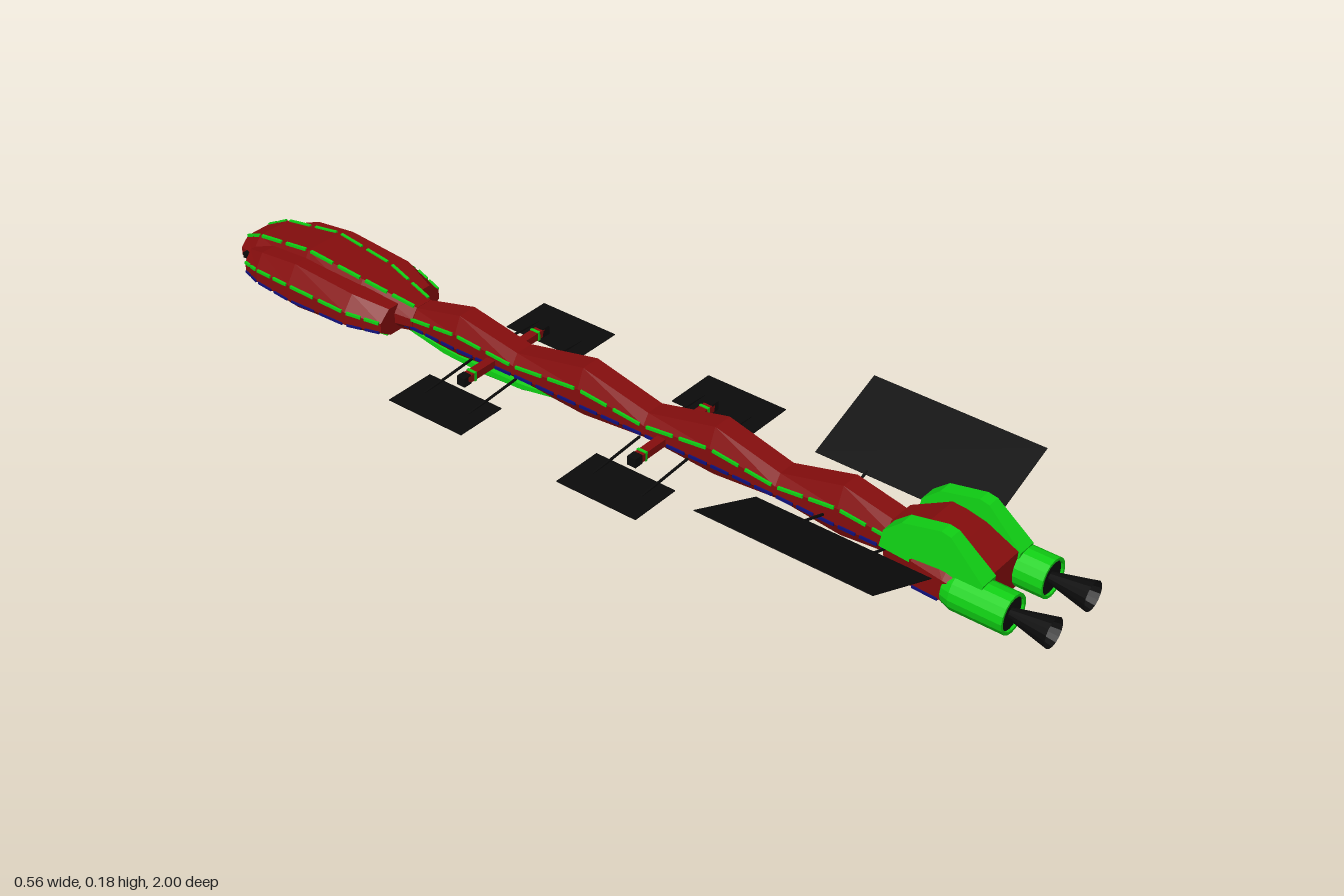
import * as THREE from 'three';

const paint = (color) => new THREE.MeshStandardMaterial({ color, flatShading: true, side: THREE.DoubleSide });
const red = paint(0x850d0d), green = paint(0x10d014), black = paint(0x0b0b0b), blue = paint(0x10107a);

function add(parent, name, geometry, material, x = 0, y = 0, z = 0) {
  const mesh = new THREE.Mesh(geometry, material);
  mesh.name = name;
  mesh.position.set(x, y, z);
  parent.add(mesh);
  return mesh;
}

const box = (w, h, d) => new THREE.BoxGeometry(w, h, d);

// Eight-sided ring from [z, bottom, top, top half-width, side half-width, bottom half-width]
function ring([z, bottom, top, wTop, wMid, wBot]) {
  const h = top - bottom;
  const half = [[wBot, bottom], [wMid, bottom + h * 0.28], [wMid, bottom + h * 0.62], [wTop, top]];
  const other = half.map(([x, y]) => [-x, y]).reverse();
  return [...half, ...other].map(([x, y]) => new THREE.Vector3(x, y, z));
}

// Closed hull through rings ordered by rising z
function loft(sections) {
  const rings = sections.map(ring), n = 8, last = (rings.length - 1) * n, index = [];
  for (let i = 0; i < rings.length - 1; i++) {
    for (let j = 0; j < n; j++) {
      const a = i * n + j, b = i * n + (j + 1) % n;
      index.push(a, b, b + n, a, b + n, a + n);
    }
  }
  for (let j = 1; j < n - 1; j++) index.push(0, j + 1, j, last, last + j, last + j + 1);
  const geometry = new THREE.BufferGeometry().setFromPoints(rings.flat());
  geometry.setIndex(index);
  const flat = geometry.toNonIndexed();
  flat.computeVertexNormals();
  return flat;
}

// Thin bar between two points
function bar(parent, name, a, b, w, h, material) {
  const mesh = add(parent, name, box(w, h, a.distanceTo(b)), material);
  mesh.position.lerpVectors(a, b, 0.5);
  mesh.lookAt(b);
}

// Dashed strips along one corner line of a hull, on both sides
function dashes(parent, name, sections, corner, material, size, perSegment = 1) {
  const rings = sections.map(ring);
  for (let i = 0; i < rings.length - 1; i++) {
    for (const c of [corner, 7 - corner]) {
      for (let k = 0; k < perSegment; k++) {
        const at = (t) => rings[i][c].clone().lerp(rings[i + 1][c], (k + t) / perSegment);
        bar(parent, name, at(0.1), at(0.9), size, size, material);
      }
    }
  }
}

// Grating tiles under a hull
function grating(parent, name, sections, columns, rows) {
  const z0 = sections[0][0], z1 = sections[sections.length - 1][0];
  const under = (z) => {
    const i = Math.max(1, sections.findIndex((s) => s[0] >= z - 1e-6));
    const a = sections[i - 1], b = sections[i], t = (z - a[0]) / (b[0] - a[0]);
    return { y: THREE.MathUtils.lerp(a[1], b[1], t), w: THREE.MathUtils.lerp(a[5], b[5], t) };
  };
  const step = (z1 - z0) / rows;
  for (let r = 0; r < rows; r++) {
    const za = z0 + r * step, p = under(za), q = under(za + step), w = p.w + q.w;
    for (let c = 0; c < columns; c++) {
      const x = ((c + 0.5) / columns - 0.5) * w;
      bar(parent, name, new THREE.Vector3(x, p.y, za + step * 0.1),
        new THREE.Vector3(x, q.y, za + step * 0.9), w / columns * 0.82, 0.004, green);
    }
  }
}

export function createModel() {
  const model = new THREE.Group();
  model.name = 'spacecraft';
  const group = (name) => {
    const g = new THREE.Group();
    g.name = name;
    model.add(g);
    return g;
  };

  // Undulating spine
  const spine = [
    [-0.57, 0.04, 0.095, 0.02, 0.036, 0.02], [-0.53, 0.042, 0.095, 0.02, 0.034, 0.02],
    [-0.40, 0.03, 0.127, 0.022, 0.039, 0.024], [-0.25, 0.04, 0.1, 0.021, 0.036, 0.022],
    [-0.08, 0.03, 0.136, 0.022, 0.039, 0.024], [0.08, 0.042, 0.1, 0.021, 0.036, 0.022],
    [0.24, 0.032, 0.138, 0.022, 0.039, 0.024], [0.39, 0.042, 0.1, 0.021, 0.036, 0.022],
    [0.53, 0.027, 0.136, 0.022, 0.039, 0.024], [0.67, 0.038, 0.105, 0.022, 0.038, 0.022],
  ];
  const body = group('spine');
  add(body, 'spineHull', loft(spine), red);
  dashes(body, 'spineLight', spine, 2, green, 0.006, 2);
  dashes(body, 'spineBlueStrip', spine, 1, blue, 0.006, 3);

  // Command section: raised core and wider side hull
  const core = [
    [-1.0, 0.042, 0.095, 0.03, 0.05, 0.035], [-0.95, 0.032, 0.118, 0.04, 0.066, 0.05],
    [-0.80, 0.024, 0.14, 0.045, 0.07, 0.055], [-0.65, 0.03, 0.125, 0.04, 0.065, 0.05],
    [-0.52, 0.044, 0.098, 0.02, 0.036, 0.024],
  ];
  const hull = [
    [-0.95, 0.037, 0.098, 0.07, 0.088, 0.065], [-0.90, 0.03, 0.114, 0.083, 0.104, 0.08],
    [-0.80, 0.021, 0.125, 0.085, 0.11, 0.085], [-0.64, 0.029, 0.114, 0.083, 0.108, 0.08],
    [-0.56, 0.037, 0.098, 0.06, 0.086, 0.06],
  ];
  const head = group('commandSection');
  add(head, 'commandCore', loft(core), red);
  add(head, 'commandHull', loft(hull), red);
  dashes(head, 'coreLight', core, 3, green, 0.006, 2);
  dashes(head, 'hullLight', hull, 2, green, 0.006, 2);
  dashes(head, 'hullBlueStrip', hull, 1, blue, 0.005, 2);
  grating(head, 'commandGrating', hull, 4, 7);
  add(head, 'noseSensor', box(0.02, 0.012, 0.02), black, -0.06, 0.075, -0.965);

  // Belly pod
  add(model, 'bellyPod', loft([
    [-0.54, 0.034, 0.05, 0.02, 0.024, 0.014], [-0.44, 0.016, 0.05, 0.024, 0.03, 0.018],
    [-0.34, 0.01, 0.05, 0.024, 0.03, 0.018], [-0.24, 0.016, 0.05, 0.024, 0.03, 0.018],
    [-0.14, 0.034, 0.05, 0.02, 0.024, 0.014],
  ]), green);

  // Engine block
  const block = [
    [0.64, 0.024, 0.115, 0.03, 0.05, 0.03], [0.72, 0.002, 0.154, 0.04, 0.086, 0.045],
    [0.79, 0.012, 0.14, 0.05, 0.093, 0.045], [0.86, 0.032, 0.11, 0.07, 0.09, 0.04],
  ];
  const engines = group('engineSection');
  add(engines, 'engineBlock', loft(block), red);
  grating(engines, 'engineGrating', block, 3, 4);
  dashes(engines, 'engineBlueStrip', block, 1, blue, 0.005);

  // Raised fairing profile, drawn in z and y
  const fairing = new THREE.Shape([[0.65, 0.095], [0.655, 0.13], [0.69, 0.16], [0.77, 0.178],
    [0.79, 0.174], [0.865, 0.108], [0.86, 0.08]].map(([z, y]) => new THREE.Vector2(-z, y)));

  for (const s of [1, -1]) {
    const fin = new THREE.ExtrudeGeometry(fairing, { depth: 0.046, bevelEnabled: false });
    fin.translate(0, 0, -0.023).rotateY(Math.PI / 2);
    const p = fin.attributes.position;
    for (let i = 0; i < p.count; i++) {
      p.setX(i, p.getX(i) * THREE.MathUtils.mapLinear(p.getY(i), 0.09, 0.178, 1, 0.6));
    }
    fin.computeVertexNormals();
    add(engines, 'engineFairing', fin, green, s * 0.061);

    // Engine pod with a flared nozzle
    add(engines, 'enginePod', new THREE.LatheGeometry([[0, 0.79], [0.034, 0.79], [0.04, 0.81], [0.04, 0.92],
      [0.034, 0.92], [0.034, 0.905], [0, 0.905]].map(([r, z]) => new THREE.Vector2(r, z)), 16)
      .rotateX(Math.PI / 2), green, s * 0.065, 0.066);
    add(engines, 'podInterior', new THREE.CylinderGeometry(0.034, 0.034, 0.006, 16)
      .rotateX(Math.PI / 2), black, s * 0.065, 0.066, 0.912);
    add(engines, 'engineNozzle', new THREE.CylinderGeometry(0.03, 0.01, 0.09, 16, 1, true)
      .rotateX(Math.PI / 2), black, s * 0.065, 0.066, 0.955);

    // Large tilted radiator
    const inner = new THREE.Vector3(s * 0.092, 0.085, 0.578), outer = new THREE.Vector3(s * 0.278, 0.161, 0.578);
    bar(model, 'radiatorPanel', inner, outer, 0.38, 0.0015, black);
    for (const z of [0.5, 0.65]) {
      bar(model, 'radiatorStrut', new THREE.Vector3(s * 0.03, 0.065, z),
        new THREE.Vector3(s * 0.1, 0.088, z), 0.004, 0.004, black);
    }

    // Small panels, their struts and the docking arms
    for (const z of [-0.305, 0.125]) {
      add(model, 'sidePanel', box(0.117, 0.002, 0.19), black, s * 0.1735, 0.035, z);
      for (const dz of [-0.058, 0.058]) {
        bar(model, 'panelStrut', new THREE.Vector3(s * 0.03, 0.045, z + dz),
          new THREE.Vector3(s * 0.17, 0.035, z + dz), 0.004, 0.004, black);
      }
      add(model, 'dockingArm', box(0.09, 0.016, 0.02), red, s * 0.07, 0.064, z);
      add(model, 'dockingCollar', box(0.006, 0.02, 0.022), green, s * 0.095, 0.064, z);
      add(model, 'dockingPort', box(0.02, 0.02, 0.02), black, s * 0.117, 0.064, z);
    }
  }
  return model;
}
